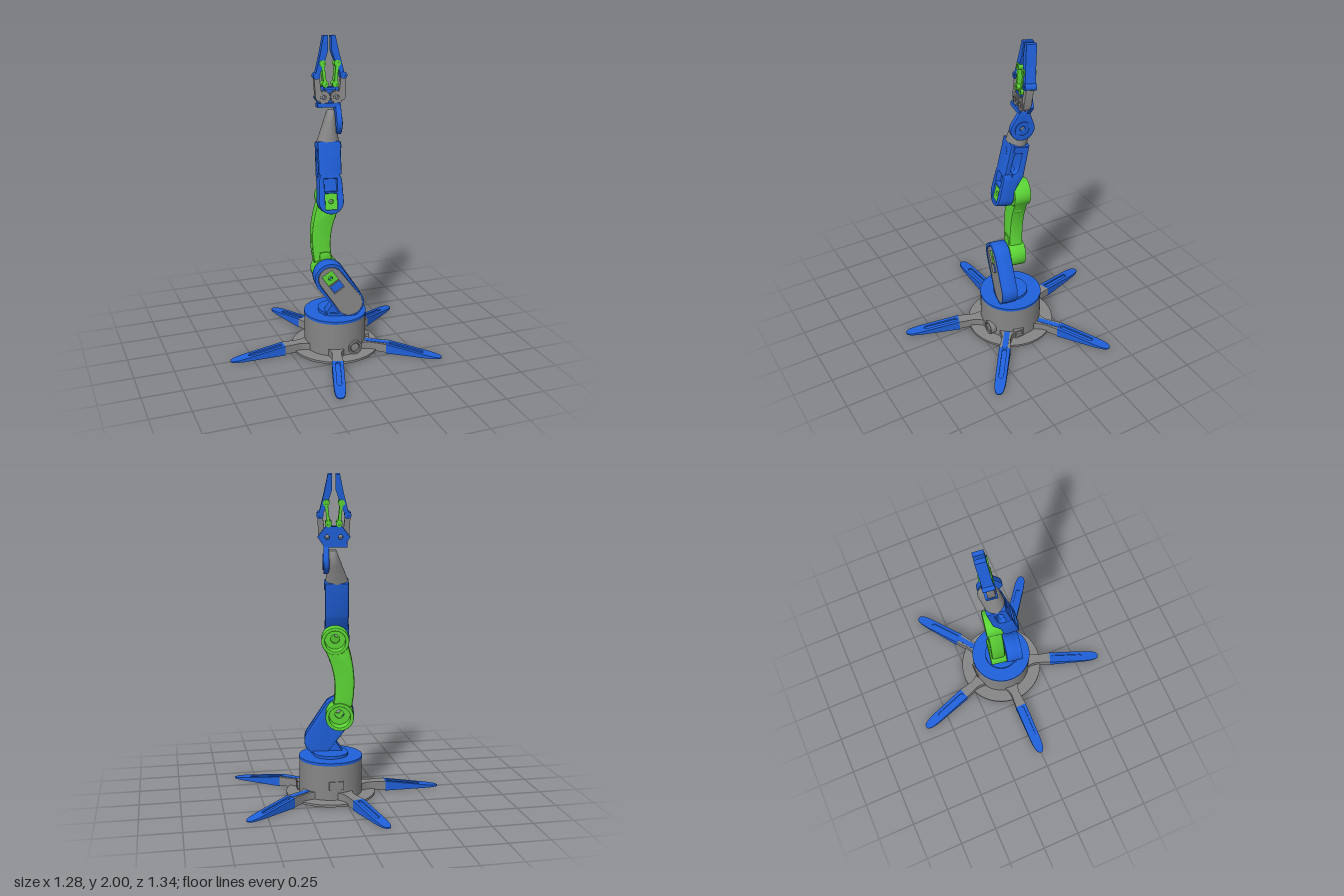
import * as THREE from 'three';
import { toCreasedNormals } from 'three/addons/utils/BufferGeometryUtils.js';

const mat = (name, color) => Object.assign(new THREE.MeshStandardMaterial({ color }), { name });

export function createModel() {
  const blue = mat('blue plastic', 0x1f60da);
  const green = mat('green plastic', 0x5cd636);
  const gray = mat('gray plastic', 0x868686);
  const model = new THREE.Group();
  model.name = 'robotArm';
  const YAW = -0.17;

  // ---- helpers ----
  const add = (parent, name, geo, m, x = 0, y = 0, z = 0) => {
    const mesh = new THREE.Mesh(geo, m);
    mesh.name = name;
    mesh.position.set(x, y, z);
    parent.add(mesh);
    return mesh;
  };
  const joint = (name, x, y, z, lean) => {
    const g = new THREE.Group();
    g.name = name;
    g.position.set(x, y, z);
    g.rotation.set(lean, YAW, 0, 'YXZ');
    model.add(g);
    return g;
  };
  const poly = (pts) => new THREE.Shape(pts.map(([x, y]) => new THREE.Vector2(x, y)));
  const rect = (x0, x1, y0, y1, turn = 0) => {
    const c = Math.cos(turn), s = Math.sin(turn);
    return poly([[x0, y0], [x1, y0], [x1, y1], [x0, y1]].map(([x, y]) => [x * c - y * s, x * s + y * c]));
  };
  const disc = (x, y, r) => new THREE.Shape().absarc(x, y, r, 0, Math.PI * 2);
  // outline wrapped round two circles
  const hull = (x1, y1, r1, x2, y2, r2) => {
    const d = Math.atan2(y2 - y1, x2 - x1);
    const f = Math.acos((r1 - r2) / Math.hypot(x2 - x1, y2 - y1));
    return new THREE.Shape()
      .absarc(x1, y1, r1, d + f, d - f + Math.PI * 2)
      .absarc(x2, y2, r2, d - f, d + f)
      .closePath();
  };
  const cut = (shape, ...holes) => { shape.holes.push(...holes); return shape; };
  // plate from z0 to z1 whose bevel stays inside the outline
  const plate = (shape, z0, z1, b = 0) => {
    const g = new THREE.ExtrudeGeometry(shape, {
      depth: z1 - z0 - 2 * b, curveSegments: 20, bevelEnabled: b > 0,
      bevelSize: b, bevelThickness: b, bevelOffset: -b, bevelSegments: 2,
    });
    return toCreasedNormals(g.translate(0, 0, z0 + b), 0.5);
  };
  // side plate: shape drawn as (-z, y), thickness along x
  const sidePlate = (shape, x0, x1, b = 0) => plate(shape, x0, x1, b).rotateY(Math.PI / 2);

  // ---- base ----
  const base = new THREE.Group();
  base.name = 'base';
  base.position.x = 0.058;
  model.add(base);
  const cyl = (r, h, n = 64) => new THREE.CylinderGeometry(r, r, h, n);
  add(base, 'baseCover', cyl(0.2, 0.008), blue, 0, 0.004);
  add(base, 'baseFlange', cyl(0.28, 0.014), gray, 0, 0.01);
  add(base, 'baseDrum', cyl(0.197, 0.22), gray, 0, 0.125);
  add(base, 'drumLid', cyl(0.199, 0.017), blue, 0, 0.2435);
  add(base, 'turntable', cyl(0.11, 0.018), blue, 0, 0.261);
  add(base, 'buttonRim', plate(cut(disc(0, 0, 0.045), disc(0, 0, 0.032)), 0, 0.05, 0.004), gray, 0.062, 0.06, 0.155);
  add(base, 'button', plate(disc(0, 0, 0.028), 0, 0.045, 0.003), gray, 0.062, 0.06, 0.155);
  add(base, 'sidePort', sidePlate(cut(rect(-0.032, 0.032, -0.028, 0.028), rect(-0.022, 0.022, -0.018, 0.018)), 0, 0.03),
    gray, 0.178, 0.052, 0.05);
  add(base, 'backPort', new THREE.BoxGeometry(0.09, 0.05, 0.02), gray, 0, 0.11, -0.193);

  // ---- legs: plan outlines raised to a tapering height ----
  const legTop = (r) => 0.062 - 0.055 * Math.max(0, (r - 0.35) / 0.35);
  const legPart = (shape, bottom, drop) => {
    const g = new THREE.ExtrudeGeometry(shape, { depth: 1, bevelEnabled: false, curveSegments: 12 }).rotateX(-Math.PI / 2);
    const p = g.attributes.position;
    for (let i = 0; i < p.count; i++) p.setY(i, p.getY(i) > 0.5 ? legTop(p.getX(i)) - drop : bottom);
    g.computeVertexNormals();
    return toCreasedNormals(g, 0.5);
  };
  const legOutline = new THREE.Shape();
  legOutline.moveTo(0.35, -0.036);
  legOutline.lineTo(0.6, -0.035);
  legOutline.bezierCurveTo(0.66, -0.033, 0.703, -0.028, 0.703, 0);
  legOutline.bezierCurveTo(0.703, 0.028, 0.66, 0.033, 0.6, 0.035);
  legOutline.lineTo(0.35, 0.036);
  cut(legOutline, hull(0.375, 0, 0.014, 0.57, 0, 0.014));
  const root = new THREE.Shape();
  root.moveTo(0.17, -0.065);
  root.quadraticCurveTo(0.21, -0.03, 0.26, -0.029);
  root.lineTo(0.35, -0.036);
  root.lineTo(0.35, 0.036);
  root.lineTo(0.26, 0.029);
  root.quadraticCurveTo(0.21, 0.03, 0.17, 0.065);
  for (let k = 0; k < 5; k++) {
    const leg = new THREE.Group();
    leg.name = 'leg';
    leg.rotation.y = Math.PI + (k * Math.PI * 2) / 5;
    base.add(leg);
    add(leg, 'legRoot', legPart(root, 0.006, 0), gray);
    add(leg, 'legBlade', legPart(legOutline, 0, 0), blue);
    add(leg, 'legGroove', legPart(hull(0.375, 0, 0.0145, 0.57, 0, 0.0145), 0.001, 0.01), blue);
    if (k === 2 || k === 3) add(leg, 'legInlay', new THREE.BoxGeometry(0.15, 0.004, 0.036), blue, 0.276, 0.0625);
  }

  // ---- shoulder link ----
  const sh = joint('shoulder', 0, 0.51, 0.05, 0);
  const sx = 0.122, sy = -0.172, turn = Math.atan2(sy, sx);
  const horn = () => rect(-0.045, 0.035, -0.038, 0.038, turn);
  const bay = () => rect(0.042, 0.098, -0.038, 0.038, turn);
  add(sh, 'shoulderBody', plate(cut(hull(0, 0, 0.1, sx, sy, 0.092), horn()), -0.05, 0.04, 0.008), blue);
  add(sh, 'shoulderRim', plate(cut(hull(0, 0, 0.1, sx, sy, 0.092), hull(0, 0, 0.08, sx, sy, 0.083)), 0.03, 0.055), blue);
  add(sh, 'shoulderCover', plate(cut(hull(0, 0, 0.076, sx, sy, 0.082), horn(), bay()), 0.038, 0.053), gray);
  add(sh, 'shoulderHorn', plate(cut(horn(), disc(0, 0, 0.014)), 0.02, 0.042), green);
  add(sh, 'shoulderFoot', plate(poly([[-0.035, -0.255], [0.17, -0.255], [0.17, -0.15], [0.05, -0.06], [0.035, -0.12], [0.01, -0.19]]),
    -0.045, 0.03), blue);
  add(sh, 'shoulderScrew', sidePlate(disc(0, 0, 0.012), 0, 0.01), blue, 0.11, -0.06, 0.035);

  // ---- upper arm: curved bar between two cups that open to the back ----
  const ua = joint('upperArm', 0.01, 0.517, -0.053, -0.035);
  const ux = 0.027, uy = 0.48;
  const cup = (name, x, y, r) => {
    add(ua, name, plate(cut(disc(0, 0, r), disc(0, 0, r - 0.022)), -0.053, 0.053, 0.005), green, x, y);
    add(ua, name + 'Floor', plate(cut(disc(0, 0, r - 0.02), disc(0, 0, 0.028)), 0.02, 0.05), green, x, y);
  };
  cup('lowerCup', 0, 0, 0.088);
  cup('upperCup', ux, uy, 0.085);
  const bar = new THREE.Shape();
  bar.moveTo(-0.075, 0.06);
  bar.quadraticCurveTo(-0.115, 0.26, -0.052, uy - 0.03);
  bar.lineTo(0, uy - 0.073);
  bar.lineTo(0.095, uy - 0.05);
  bar.quadraticCurveTo(0.005, 0.26, 0.04, 0.075);
  bar.lineTo(0, 0.078);
  add(ua, 'upperArmBar', plate(bar, -0.045, 0.045, 0.014), green);
  add(ua, 'cableClip', plate(poly([[-0.045, 0.08], [0.03, 0.08], [0.02, 0.13], [-0.04, 0.13]]), 0.03, 0.052, 0.004), green);
  add(ua, 'sideTab', new THREE.BoxGeometry(0.03, 0.06, 0.04), green, 0.05, 0.38, 0.01);

  // ---- forearm ----
  const fa = joint('forearm', 0.012, 1.0, 0.03, -0.22);
  const elbowHorn = () => rect(-0.038, 0.038, -0.05, 0.05);
  const elbowBay = () => rect(-0.04, 0.04, 0.062, 0.142);
  add(fa, 'elbowBody', plate(cut(hull(0, 0, 0.078, 0, 0.12, 0.072), elbowHorn(), elbowBay()), -0.045, 0.05, 0.006), blue);
  add(fa, 'elbowBayFloor', plate(elbowBay(), -0.04, 0.015), blue);
  add(fa, 'elbowHorn', plate(cut(elbowHorn(), disc(0, 0, 0.014)), 0.015, 0.038), green);
  add(fa, 'forearmBody', sidePlate(
    cut(poly([[-0.05, 0.165], [-0.052, 0.37], [0.068, 0.37], [0.078, 0.16], [0.045, 0.06], [0, 0.06], [0, 0.165]]),
      hull(0.008, 0.2, 0.022, 0.008, 0.3, 0.022)), -0.072, 0.072, 0.012), blue);
  add(fa, 'forearmCollar', new THREE.BoxGeometry(0.02, 0.04, 0.08), blue, 0.068, 0.345, -0.01);
  add(fa, 'forearmCap', new THREE.CylinderGeometry(0.03, 0.03, 0.006, 6).rotateX(Math.PI / 2), blue, 0, 0.3, 0.05);

  // wrist cowl: round at the foot, slanting to a narrow rounded top
  const cowl = new THREE.CylinderGeometry(1, 1, 1, 40, 14);
  const cp = cowl.attributes.position;
  for (let i = 0; i < cp.count; i++) {
    const t = cp.getY(i) + 0.5, y = 0.365 + 0.198 * t;
    const left = -0.07 + 0.075 * t, right = 0.07 - 0.022 * t;
    const rise = Math.max(0, y - 0.485) / 0.084;
    const half = 0.064 * Math.sqrt(1 - rise * rise);
    cp.setXYZ(i, (left + right) / 2 + cp.getX(i) * (right - left) / 2, y, cp.getZ(i) * half - 0.006);
  }
  cowl.computeVertexNormals();
  add(fa, 'wristCowl', toCreasedNormals(cowl, 0.6), gray);

  // ---- gripper ----
  const gr = joint('gripper', 0.047, 1.475, -0.062, -0.11);
  add(gr, 'wristBracket', sidePlate(cut(hull(0, 0, 0.075, 0, 0.09, 0.036), disc(0, 0, 0.016)), 0.028, 0.062, 0.004), blue);
  add(gr, 'wristRing', sidePlate(cut(disc(0, 0, 0.05), disc(0, 0, 0.035)), 0.06, 0.068), blue);
  add(gr, 'palm', new THREE.BoxGeometry(0.14, 0.026, 0.07), blue, -0.012, 0.107);
  add(gr, 'gearPlate', plate(
    cut(poly([[-0.098, 0.155], [-0.06, 0.1], [0.06, 0.1], [0.098, 0.155], [0.05, 0.218], [-0.05, 0.218]]),
      disc(-0.04, 0.155, 0.014), disc(0.04, 0.155, 0.014)), -0.036, -0.014), blue);
  add(gr, 'palmTop', new THREE.BoxGeometry(0.07, 0.016, 0.06), blue, 0, 0.207);

  const gear = (x, y) => {
    const pts = [];
    for (let i = 0; i < 48; i++) {
      const a = (i / 48) * Math.PI * 2, r = i % 4 < 2 ? 0.041 : 0.036;
      pts.push([x + r * Math.cos(a), y + r * Math.sin(a)]);
    }
    return cut(poly(pts), disc(x, y, 0.013));
  };
  for (const s of [-1, 1]) {
    const side = new THREE.Group();
    side.name = s < 0 ? 'rightFinger' : 'leftFinger';
    gr.add(side);
    add(side, 'gear', plate(gear(s * 0.04, 0.155), -0.016, 0.028), gray);
    add(side, 'gearHub', plate(cut(disc(s * 0.04, 0.155, 0.022), disc(s * 0.04, 0.155, 0.012)), 0.026, 0.034), gray);
    add(side, 'driveLink', plate(hull(s * 0.072, 0.155, 0.02, s * 0.083, 0.285, 0.016), -0.02, 0.026), gray);
    add(side, 'fingerBlade', plate(poly([[0.094, 0.275], [0.06, 0.41], [0.036, 0.525], [0.01, 0.525], [0.01, 0.435],
      [0.027, 0.385], [0.046, 0.335], [0.072, 0.272]].map(([x, y]) => [s * x, y])), -0.032, 0.032), blue);
    add(side, 'fingerPivot', plate(cut(disc(s * 0.083, 0.285, 0.021), disc(s * 0.083, 0.285, 0.008)), -0.036, 0.036), blue);
    // green follower link with an eye at each end
    add(side, 'followerBar', plate(hull(s * 0.032, 0.235, 0.009, s * 0.045, 0.358, 0.009), -0.034, 0.034), green);
    for (const [x, y] of [[0.032, 0.235], [0.045, 0.358]])
      add(side, 'followerEye', plate(cut(disc(s * x, y, 0.02), disc(s * x, y, 0.009)), -0.038, 0.038), green);
  }
  return model;
}
